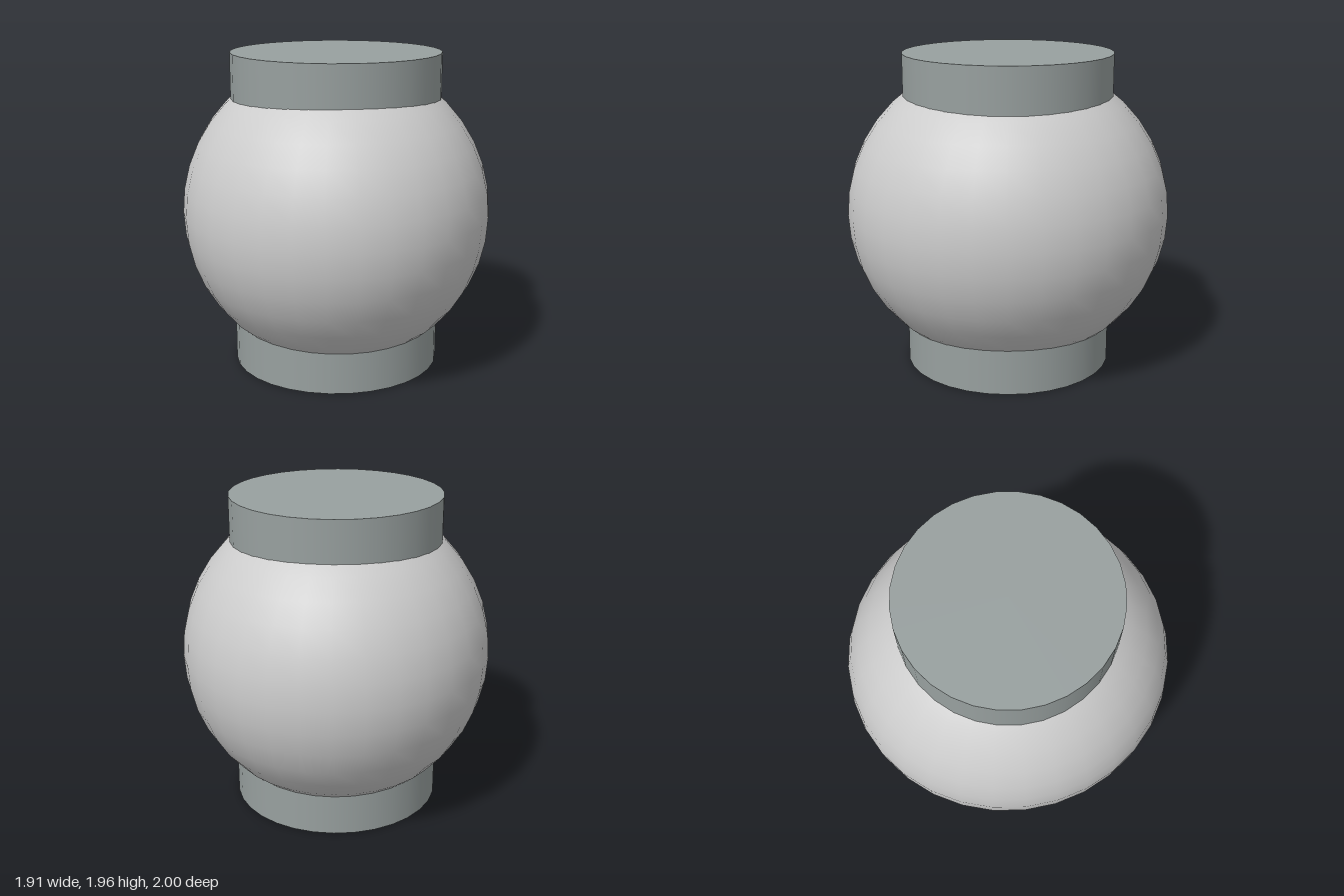
import * as THREE from 'three';

export function createModel() {
  const group = new THREE.Group();
  const height = 1.96;

  // Slightly flattened globe, a little deeper than it is wide
  const globe = new THREE.Mesh(
    new THREE.SphereGeometry(1, 32, 20),
    new THREE.MeshStandardMaterial({ color: 0xcccccc })
  );
  globe.name = 'globe';
  globe.scale.set(0.953, 0.956, 1);
  globe.position.y = height / 2;
  group.add(globe);

  // Cylindrical core that shows as a collar above and a base below
  const core = new THREE.Mesh(
    new THREE.CylinderGeometry(0.645, 0.645, height, 32),
    new THREE.MeshStandardMaterial({ color: 0x98a09f })
  );
  core.name = 'core';
  core.position.y = height / 2;
  group.add(core);

  return group;
}
